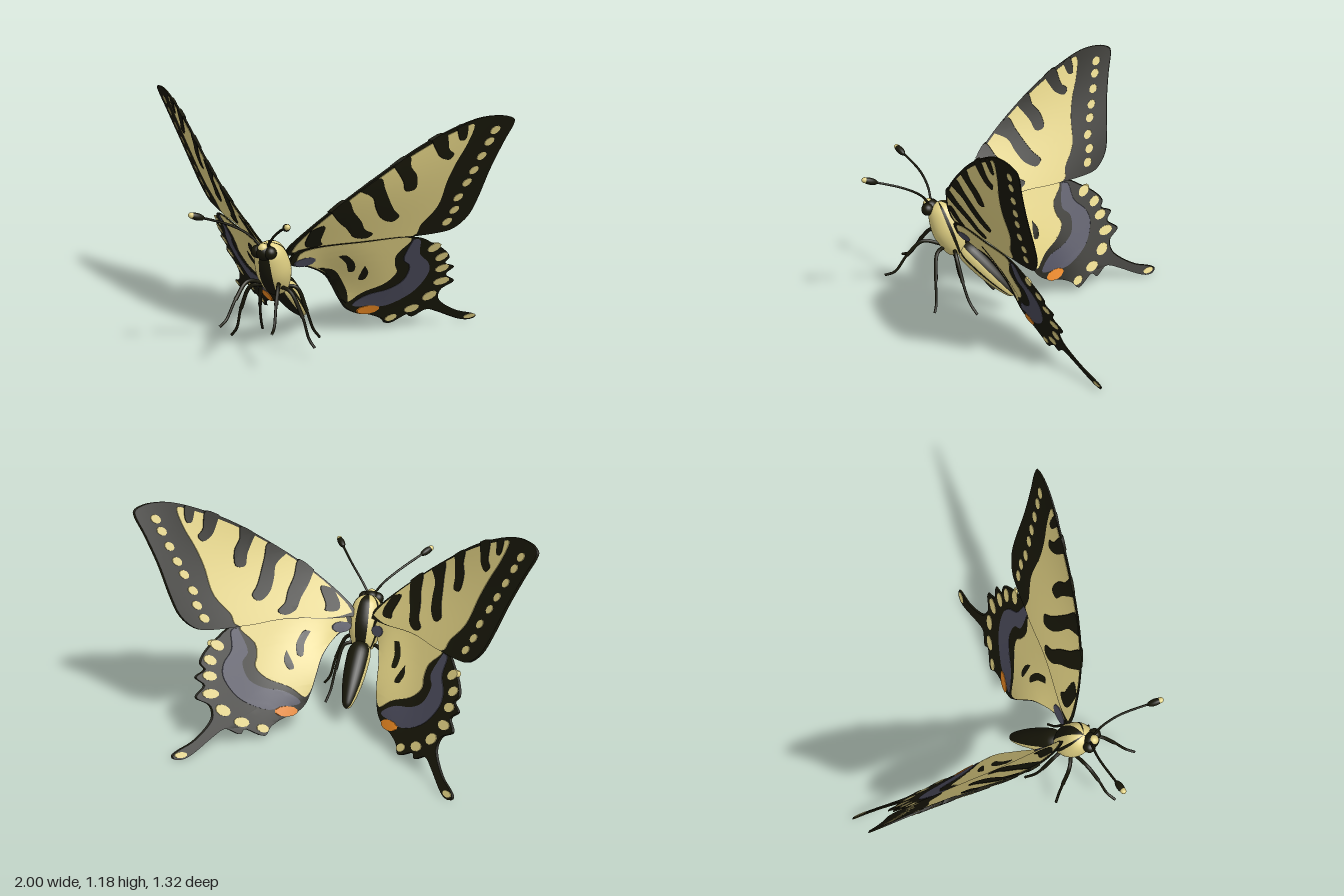
import * as THREE from 'three';
import { toCreasedNormals } from 'three/addons/utils/BufferGeometryUtils.js';

const paint = (name, color) => Object.assign(new THREE.MeshStandardMaterial({ color }), { name });
const V = (x, y, z) => new THREE.Vector3(x, y, z);

// Wing surfaces: x as a function of z and y (forewing gently bowed, hindwing folded in along its inner edge)
const foreX = (z, y) => 0.049 - 1.032 * z + 0.527 * y
  + 0.06 * Math.sin(Math.PI * (y - 0.55) / 0.62) * (z + 0.35) / 0.5;
const hindX = (z, y) => -1.05 * z + 0.66 * y
  - 0.07 * Math.exp(-(((y - 0.94 * z - 0.32) / 0.12) ** 2) - ((z + 0.04) / 0.16) ** 2);
const hindOuterX = (z, y) => hindX(z, y) + 0.006;

// Outlines are flat lists of z, y in hundredths
const outline = (list) => {
  const pts = [];
  for (let i = 0; i < list.length; i += 2) pts.push(new THREE.Vector2(list[i] / 100, list[i + 1] / 100));
  pts.push(pts[0].clone());
  return new THREE.Shape(new THREE.SplineCurve(pts).getPoints(pts.length * 4).slice(0, -1));
};
const spot = (z, y, rz, ry) => new THREE.Shape(Array.from({ length: 10 }, (_, i) => {
  const a = i / 10 * Math.PI * 2;
  return new THREE.Vector2(z / 100 + rz / 100 * Math.cos(a), y / 100 + ry / 100 * Math.sin(a));
}));

// Thin plate, finely split so that it follows the bent wing surface
function wingPlate(shapes, depth, surface, side) {
  const flat = new THREE.ExtrudeGeometry(shapes, { depth, bevelEnabled: false }).toNonIndexed();
  const p = flat.attributes.position;
  const out = [];
  const put = (v) => out.push(side * (surface(v.x, v.y) + v.z - depth / 2), v.y, v.x);
  const split = (a, b, c) => {
    const d = [a.distanceTo(b), b.distanceTo(c), c.distanceTo(a)];
    const m = Math.max(...d);
    if (m < 0.03) {
      put(a);
      if (side > 0) { put(c); put(b); } else { put(b); put(c); }
      return;
    }
    const k = d.indexOf(m);
    const [s, t, u] = k === 0 ? [a, b, c] : k === 1 ? [b, c, a] : [c, a, b];
    const mid = s.clone().add(t).multiplyScalar(0.5);
    split(s, mid, u);
    split(mid, t, u);
  };
  for (let i = 0; i < p.count; i += 3) {
    split(...[0, 1, 2].map((k) => new THREE.Vector3().fromBufferAttribute(p, i + k)));
  }
  const geo = new THREE.BufferGeometry();
  geo.setAttribute('position', new THREE.Float32BufferAttribute(out, 3));
  return toCreasedNormals(geo, 0.6);
}

const foreOutline = [24, 50, 26, 56, 23.2, 70, 16.8, 83.2, 6, 97.5, -4.6, 108.2, -17.1, 116.8, -25.4, 118.6,
  -31.4, 117, -33.2, 113.5, -33.2, 104, -33.9, 90, -35.7, 75, -36, 65, -33.2, 58.2, -28, 56, -17, 55, 0, 54.5, 15, 51];
const foreField = [23.8, 52, 24.4, 58, 22.2, 70, 15.6, 83.2, 5.4, 96.4, -5, 106.4, -14, 113, -18, 114.5, -18.6, 105,
  -17.8, 95, -18.2, 85, -20.5, 72, -18.5, 62, -17.8, 55.3, 0, 54.8, 15, 51.4];
const foreStripes = [
  [-4, 108, -8.5, 111, -12, 103, -15, 100, -14, 97, -10, 99, -7, 103],
  [-12, 113, -15, 115, -17, 108, -15, 107],
  [7, 96, 2.5, 100.8, 0, 95, -4, 90, -6.5, 83, -3, 82, 0, 87, 3, 91],
  [15.5, 84, 10.5, 90.5, 6, 84, 1, 77, -3, 72, -7, 68, -5.5, 65, 0, 68, 5, 74, 9, 80],
  [22, 74, 18.8, 80, 13, 73, 7, 67, 3, 62, -1.5, 59, 0, 56.5, 5, 58, 10, 63, 16, 68],
  [24, 64, 20, 66, 17, 58, 15, 55, 19, 54, 22, 57],
];
const foreSpots = [111, 105, 97.5, 90, 83.5, 75.5, 68.5, 62];

const hindOutline = [23, 45, 22, 53, 0, 55, -17, 55.5, -26, 51, -33, 46, -37, 41.4, -37, 38, -41.6, 35.4, -40.5, 31,
  -45.8, 26.5, -43, 22, -44.5, 16.5, -49, 12, -56, 7.4, -62.5, 4.9, -65.6, 3, -65.2, 1, -62, 0.8, -57, 3, -49, 7.5,
  -43, 10, -39.5, 6.2, -36.5, 8, -32, 3.2, -28, 6.8, -23, 9.6, -18, 11.2, -13.6, 14.6, -10, 20, -4.6, 28.2,
  2.5, 36, 13, 42];
const hindField = [21, 46, 20, 52.6, 0, 54.7, -16, 55, -15, 46, -17, 40, -20, 35, -19, 29, -15, 24, -13.2, 18.5,
  -10.4, 20.4, -4.8, 28.6, 2.3, 36.4, 13, 42.5];
const hindBand = [-17.5, 54, -20.5, 53, -24, 45, -30, 39, -33, 32, -32, 22, -26, 15, -20, 15, -15, 16, -17, 22,
  -22, 25, -25, 30, -23.5, 38, -19, 43];
const hindMarks = [
  [5, 47, 0, 42.5, -4, 37, -5, 38, -2, 43, 3, 47.5],
  [-7, 40, -10, 36, -11, 32, -9.5, 32, -8, 36],
];
const hindEdge = [9, 41, 2, 39, -4, 33, -10, 24.5, -12.5, 17.8, -10, 20.5, -4.6, 28.6, 2.4, 36.4];
const hindSpots = [[-28, 48, 2.2, 2.7], [-33.5, 42, 2.1, 2.5], [-37, 35, 2.4, 2.3], [-40.5, 27, 2.9, 2.3],
  [-40, 18.5, 2.4, 2.9], [-36.5, 11.5, 2.6, 2.4], [-31, 6.8, 1.9, 2.1], [-63, 2.8, 2.2, 1.4]];

export function createModel() {
  const cream = paint('cream', 0xe0d083);
  const black = paint('black', 0x181709);
  const slate = paint('slate blue', 0x4a4a5a);
  const orange = paint('orange', 0xee8a22);
  const model = new THREE.Group();
  model.name = 'butterfly';
  const add = (parent, name, geo, mat) => {
    const mesh = new THREE.Mesh(geo, mat);
    mesh.name = name;
    parent.add(mesh);
    return mesh;
  };

  // Turned body section; some of its lengthwise strips are black
  const bodySection = (name, profile, tail, head, isBlack) => {
    const n = 32;
    const pts = profile.map(([r, y]) => new THREE.Vector2(r, y));
    const curve = new THREE.SplineCurve(pts).getPoints(24);
    curve.forEach((q) => { q.x = Math.max(q.x, 0); });
    const dir = head.clone().sub(tail);
    const geo = new THREE.LatheGeometry(curve, n);
    const strip = (curve.length - 1) * 6;
    geo.clearGroups();
    for (let i = 0; i < n; i++) {
      const a = (i + 0.5) / n * Math.PI * 2; // 0 is the belly, PI is the back
      geo.addGroup(i * strip, strip, isBlack(Math.PI - Math.abs(Math.PI - a)) ? 1 : 0);
    }
    geo.scale(1, dir.length(), 1);
    geo.rotateX(Math.atan2(dir.z, dir.y));
    geo.translate(tail.x, tail.y, tail.z);
    add(model, name, geo, [cream, black]);
  };
  bodySection('abdomen', [[0, 0], [0.025, 0.06], [0.048, 0.3], [0.06, 0.6], [0.054, 0.85], [0, 1]],
    V(0, 0.11, -0.055), V(0, 0.38, 0.24), (a) => a < 0.5 || (a > 1.15 && a < 1.35) || a > 2.05);
  bodySection('thorax', [[0, 0], [0.05, 0.06], [0.08, 0.3], [0.088, 0.55], [0.07, 0.85], [0.035, 0.97], [0, 1]],
    V(0, 0.31, 0.235), V(0, 0.585, 0.345), (a) => a < 0.3 || (a > 1.9 && a < 2.1) || a > 2.7);

  // Head
  const head = add(model, 'head', new THREE.SphereGeometry(0.042, 24, 16), black);
  head.position.set(0, 0.55, 0.385);
  const brow = add(model, 'brow', new THREE.SphereGeometry(0.026, 20, 12), cream);
  brow.position.set(0, 0.57, 0.397);

  for (const side of [1, -1]) {
    const half = new THREE.Group();
    half.name = side > 0 ? 'leftSide' : 'rightSide';
    model.add(half);
    const tube = (name, pts, r) => add(half, name, new THREE.TubeGeometry(
      new THREE.CatmullRomCurve3(pts.map(([x, y, z]) => V(side * x, y, z))), 20, r, 8), black);
    const plate = (name, shapes, depth, surface, mat) =>
      add(half, name, wingPlate(shapes, depth, surface, side), mat);

    // Forewing
    plate('forewing', [outline(foreOutline)], 0.012, foreX, black);
    plate('forewingField', [outline(foreField)], 0.018, foreX, cream);
    plate('forewingStripes', foreStripes.map(outline), 0.024, foreX, black);
    plate('forewingSpots', foreSpots.map((y) => spot(-27 - (y < 72 ? 1.5 : 0), y, 1.7, 2.2)), 0.018, foreX, cream);

    // Hindwing
    plate('hindwing', [outline(hindOutline)], 0.012, hindX, black);
    plate('hindwingField', [outline(hindField)], 0.018, hindX, cream);
    plate('hindwingBand', [outline(hindBand)], 0.018, hindX, slate);
    plate('hindwingMarks', hindMarks.map(outline), 0.024, hindX, black);
    plate('hindwingInnerEdge', [outline(hindEdge)], 0.012, hindOuterX, black);
    plate('hindwingRootPatch', [spot(17.5, 45.8, 4.2, 2.6)], 0.026, hindX, slate);
    plate('hindwingEyespot', [spot(-20.7, 12.8, 3.4, 2.6)], 0.026, hindX, orange);
    plate('hindwingSpots', hindSpots.map((s) => spot(...s)), 0.018, hindX, cream);

    // Eye
    const eye = add(half, 'eye', new THREE.SphereGeometry(0.032, 20, 14), black);
    eye.position.set(side * 0.035, 0.55, 0.39);

    // Antenna with a club and pale tip
    tube('antenna', [[0.02, 0.58, 0.39], [0.06, 0.632, 0.415], [0.13, 0.69, 0.48], [0.25, 0.762, 0.64]], 0.006);
    const aim = V(side * 0.12, 0.07, 0.16).normalize();
    const club = (name, r, len, at, mat) => {
      const mesh = add(half, name, new THREE.SphereGeometry(r, 14, 10), mat);
      mesh.scale.y = len / r;
      mesh.quaternion.setFromUnitVectors(V(0, 1, 0), aim);
      mesh.position.copy(V(side * 0.25, 0.762, 0.64).addScaledVector(aim, at));
    };
    club('antennaClub', 0.018, 0.042, -0.025, black);
    club('antennaTip', 0.015, 0.018, 0.002, cream);

    // Legs: thick upper part, thin lower part
    const legs = {
      frontLeg: [[0.04, 0.37, 0.31], [0.085, 0.395, 0.405], [0.11, 0.32, 0.48], [0.13, 0.23, 0.54], [0.14, 0.21, 0.59]],
      middleLeg: [[0.04, 0.36, 0.3], [0.11, 0.345, 0.32], [0.17, 0.22, 0.31], [0.2, 0.11, 0.3], [0.23, 0.07, 0.3]],
      hindLeg: [[0.04, 0.35, 0.25], [0.095, 0.34, 0.225], [0.13, 0.21, 0.18], [0.145, 0.11, 0.14], [0.16, 0.055, 0.096]],
    };
    for (const [name, pts] of Object.entries(legs)) {
      tube(name, pts, 0.007);
      tube(name + 'Thigh', pts.slice(0, 3), 0.01);
    }
  }
  return model;
}
